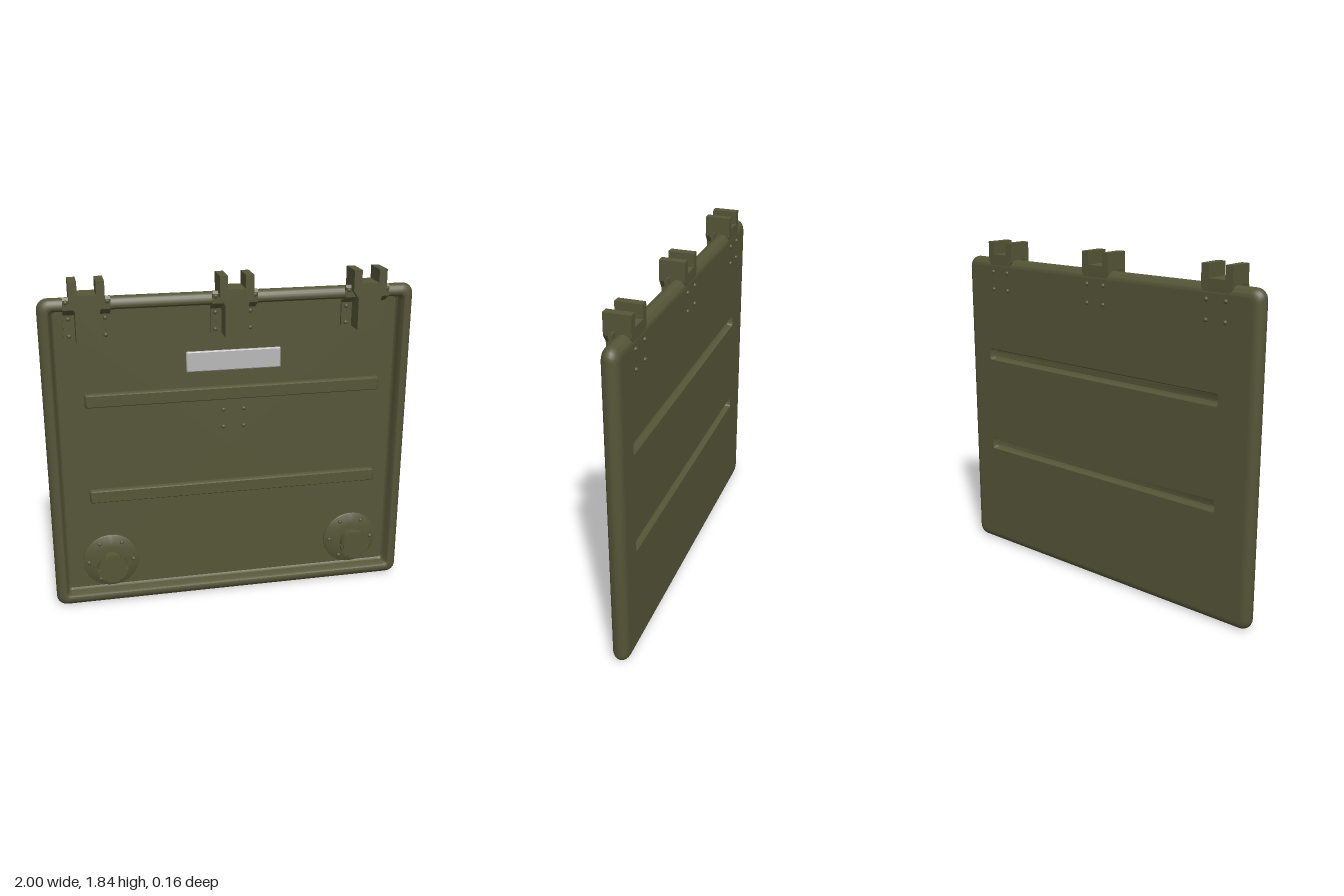
import * as THREE from 'three';
import { toCreasedNormals } from 'three/addons/utils/BufferGeometryUtils.js';

const BACK = -0.065, FLOOR = -0.048, FRONT = 0.024;
const olive = new THREE.MeshStandardMaterial({ color: 0x555538 });
olive.name = 'olive paint';
const grey = new THREE.MeshStandardMaterial({ color: 0xb8b8b8 });
grey.name = 'plate grey';

function add(parent, name, geometry, x = 0, y = 0, z = 0, material = olive) {
  const mesh = new THREE.Mesh(geometry, material);
  mesh.name = name;
  mesh.position.set(x, y, z);
  parent.add(mesh);
  return mesh;
}

// Counter-clockwise rounded rectangle centred on the origin
function roundedLoop(w, h, r, steps = 6) {
  const points = [];
  [[1, 1], [-1, 1], [-1, -1], [1, -1]].forEach(([sx, sy], q) => {
    for (let i = 0; i <= steps; i++) {
      const a = (q + i / steps) * Math.PI / 2;
      points.push(new THREE.Vector2(
        sx * (w / 2 - r) + r * Math.cos(a), sy * (h / 2 - r) + r * Math.sin(a)));
    }
  });
  return points;
}

// Skin between rounded rectangles; each ring is [width, height, radius, z]
function loft(rings, crease = 0.6) {
  const loops = rings.map(([w, h, r, z]) => roundedLoop(w, h, r).map(p => [p.x, p.y, z]));
  const pos = [];
  for (let i = 0; i < loops.length - 1; i++) {
    const a = loops[i], b = loops[i + 1];
    for (let j = 0; j < a.length; j++) {
      const k = (j + 1) % a.length;
      pos.push(...a[j], ...a[k], ...b[k], ...a[j], ...b[k], ...b[j]);
    }
  }
  const g = new THREE.BufferGeometry();
  g.setAttribute('position', new THREE.Float32BufferAttribute(pos, 3));
  return toCreasedNormals(g, crease);
}

function rivet(parent, x, y, z, facing = 1) {
  const g = new THREE.SphereGeometry(0.012, 10, 5, 0, Math.PI * 2, 0, Math.PI / 2);
  g.rotateX(facing * Math.PI / 2);
  add(parent, 'rivet', g, x, y, z);
}

function cylinderZ(r0, r1, depth, sides = 32) {
  return new THREE.CylinderGeometry(r1, r0, depth, sides).rotateX(Math.PI / 2);
}

function makePanel(group) {
  const W = 2, H = 1.745, cy = H / 2, R = 0.0445;
  const ring = (d, z) => [W - 2 * d, H - 2 * d, Math.max(0.055 - d * 0.5, 0.02), z];

  // Half-round rim, inner slope and recessed floor
  const rings = [];
  for (let i = 0; i <= 12; i++) {
    const a = -Math.PI / 2 + Math.PI * i / 12;
    rings.push(ring(R - R * Math.cos(a), (BACK + FRONT) / 2 + R * Math.sin(a)));
  }
  rings.push(ring(0.054, FRONT - 0.003), ring(0.062, FRONT - 0.014),
    ring(0.068, FLOOR + 0.012), ring(0.078, FLOOR), [0, 0, 0, FLOOR]);
  add(group, 'rimAndFrontSheet', loft(rings), 0, cy, 0);

  // Back sheet with two pressed grooves, which stand out as ribs in front
  const rw = 1.625, rh = 0.076, rx = 0.028, ribs = [1.183, 0.633];
  const sheet = new THREE.Shape(roundedLoop(W - 2 * R, H - 2 * R, 0.055 - R * 0.5));
  for (const y of ribs) {
    const hole = roundedLoop(rw - 0.01, rh - 0.008, 0.012)
      .map(p => new THREE.Vector2(p.x + rx, p.y + y - cy));
    sheet.holes.push(new THREE.Path(hole.reverse()));
    add(group, 'backGroove', loft([
      [0, 0, 0, -0.028], [rw - 0.05, rh - 0.04, 0.01, -0.028],
      [rw - 0.024, rh - 0.02, 0.012, -0.036], [rw - 0.01, rh - 0.008, 0.012, BACK]]), rx, y, 0);
    add(group, 'frontRib', loft([
      [rw, rh, 0.012, FLOOR], [rw - 0.004, rh - 0.004, 0.012, -0.028],
      [rw - 0.016, rh - 0.016, 0.011, -0.019], [0, 0, 0, -0.019]]), rx, y, 0);
  }
  add(group, 'backSheet', new THREE.ShapeGeometry(sheet).rotateY(Math.PI), 0, cy, BACK)
    .scale.x = 1;
  const back = group.getObjectByName('backSheet');
  // Turning the sheet mirrors it in x, so mirror its grooves back into place
  back.geometry.dispose();
  back.geometry = new THREE.ShapeGeometry(sheet);
  const index = back.geometry.index.array;
  for (let i = 0; i < index.length; i += 3) [index[i], index[i + 1]] = [index[i + 1], index[i]];
  back.geometry.computeVertexNormals();
}

function makeHinge(x) {
  const hinge = new THREE.Group();
  hinge.name = 'hinge';
  hinge.position.x = x;

  // Forked block with a flared neck
  const half = [[0.062, 1.52], [0.062, 1.69], [0.09, 1.73], [0.09, 1.84], [0.047, 1.84], [0.047, 1.77]];
  const outline = [...half, ...half.map(([px, py]) => [-px, py]).reverse()];
  const fork = new THREE.Shape(outline.map(p => new THREE.Vector2(...p)));
  add(hinge, 'forkBlock',
    new THREE.ExtrudeGeometry(fork, { depth: 0.137, bevelEnabled: false }), 0, 0, -0.064);

  // Bent strap that follows the rim down into the recess; profile is (z, y)
  const bend = [[-0.05, 1.52], [-0.034, 1.52], [-0.034, 1.65], [0.033, 1.69],
    [0.033, 1.74], [0.024, 1.755], [0.015, 1.755], [0.015, 1.69], [-0.05, 1.66]];
  const strap = new THREE.ExtrudeGeometry(
    new THREE.Shape(bend.map(p => new THREE.Vector2(...p))), { depth: 0.24, bevelEnabled: false });
  add(hinge, 'strap', strap.rotateY(-Math.PI / 2), 0.12);

  for (const s of [-1, 1]) {
    rivet(hinge, s * 0.104, 1.73, 0.033);
    for (const y of [1.63, 1.54]) rivet(hinge, s * 0.094, y, -0.034);
    for (const y of [1.67, 1.57]) rivet(hinge, s * 0.056, y, BACK, -1);
  }
  return hinge;
}

function makeLatch(x) {
  const latch = new THREE.Group();
  latch.name = 'latch';
  latch.position.set(x, 0.235, 0);

  // Shallow flange with a ring of rivets
  const profile = [[0.156, FLOOR], [0.156, -0.038], [0.15, -0.034], [0.09, -0.024], [0.055, -0.022], [0, -0.022]];
  const flange = new THREE.LatheGeometry(profile.map(p => new THREE.Vector2(...p)), 48);
  add(latch, 'flange', toCreasedNormals(flange.rotateX(Math.PI / 2), 0.5));
  for (let i = 0; i < 6; i++) {
    const a = i * Math.PI / 3;
    rivet(latch, 0.125 * Math.cos(a), 0.125 * Math.sin(a), -0.031);
  }

  // Neck and lugged knob
  add(latch, 'neck', cylinderZ(0.058, 0.055, 0.066), 0, 0, 0.008);
  add(latch, 'knob', cylinderZ(0.073, 0.073, 0.041), 0, 0, 0.0575);
  for (let i = 0; i < 6; i++) {
    const lug = new THREE.Shape();
    const a = i * Math.PI / 3 + 0.08, b = a + Math.PI / 3 - 0.16;
    lug.absarc(0, 0, 0.083, a, b, false);
    lug.absarc(0, 0, 0.068, b, a, true);
    add(latch, 'knobLug',
      new THREE.ExtrudeGeometry(lug, { depth: 0.036, bevelEnabled: false, curveSegments: 6 }), 0, 0, 0.038);
  }
  return latch;
}

export function createModel() {
  const model = new THREE.Group();
  model.name = 'hatchPanel';
  makePanel(model);
  for (const x of [-0.75, 0.013, 0.73]) model.add(makeHinge(x));
  for (const x of [-0.685, 0.717]) model.add(makeLatch(x));

  // Blank data plate and the four rivets in the middle
  add(model, 'dataPlate', loft([[0.514, 0.11, 0.003, FLOOR], [0.514, 0.11, 0.003, -0.036],
    [0.504, 0.1, 0.003, -0.032], [0, 0, 0, -0.032]], 0.3), 0.02, 1.365, 0, grey);
  for (const x of [-0.036, 0.077]) for (const y of [1.083, 0.985]) rivet(model, x, y, FLOOR);
  return model;
}
